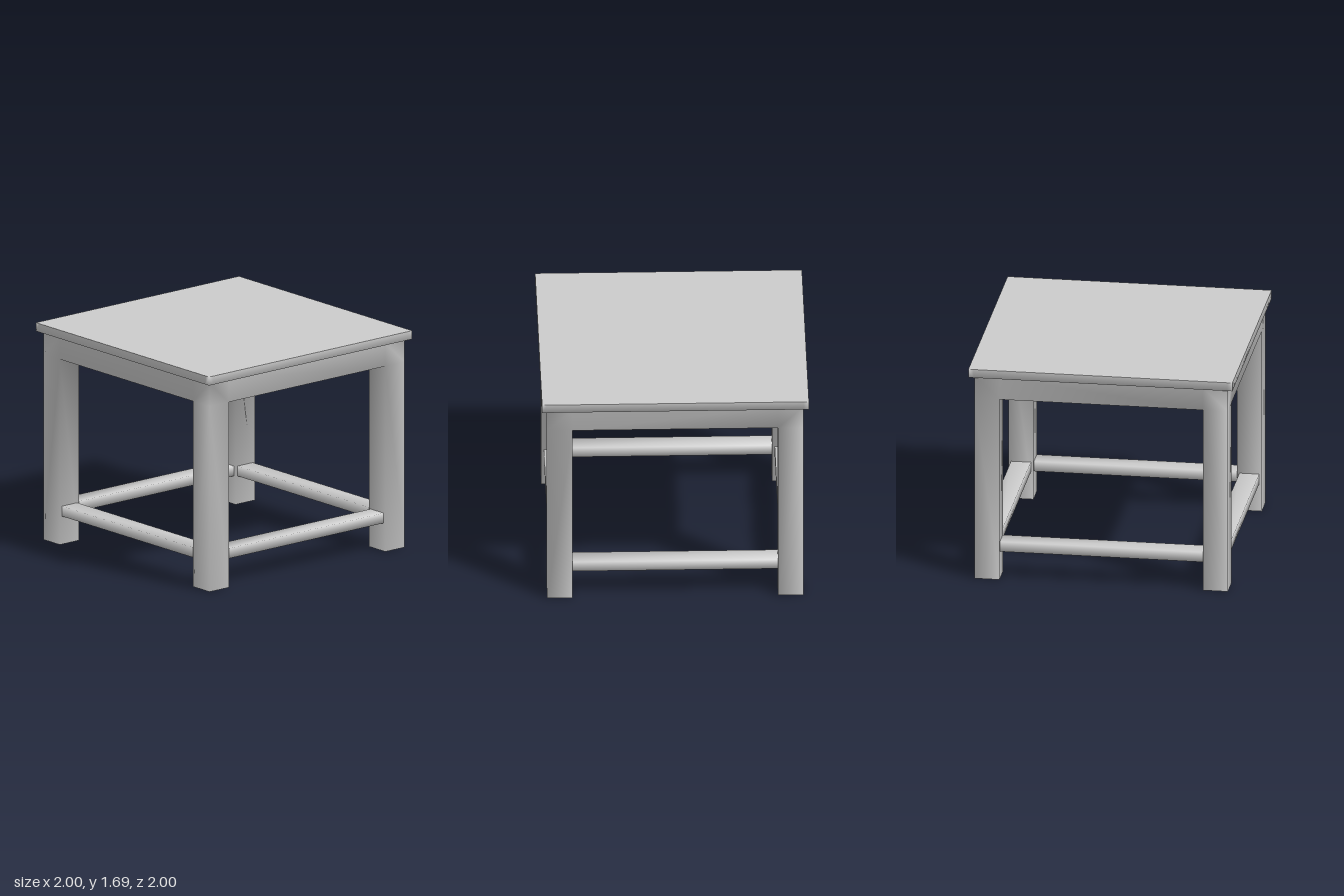
import * as THREE from 'three';
import { mergeGeometries, mergeVertices } from 'three/addons/utils/BufferGeometryUtils.js';

const material = new THREE.MeshStandardMaterial({ color: 0xcccccc });

// Weld corners so that the shading runs smoothly round the edges
function addPart(group, name, geometry) {
  geometry.deleteAttribute('normal');
  geometry.deleteAttribute('uv');
  const welded = mergeVertices(geometry, 1e-4);
  welded.computeVertexNormals();
  const mesh = new THREE.Mesh(welded, material);
  mesh.name = name;
  group.add(mesh);
  return mesh;
}

// Two triangles from four corners, counter-clockwise seen from the front
function quad(a, b, c, d) {
  return new THREE.BufferGeometry().setFromPoints([a, b, c, a, c, d]);
}

// Seat, solid apron block and legs as one shell: outer faces of the filled cells of a grid
function bodyGeometry() {
  const sides = [-1, -0.96, -0.77, 0.77, 0.96, 1];
  const levels = [0, 1.442, 1.62, 1.686];
  const lines = [sides, levels, sides];
  const filled = ([i, j, k]) => {
    const within = (n, edge) => n >= edge && n <= 4 - edge;
    if (j === 2) return within(i, 0) && within(k, 0);
    if (j === 1) return within(i, 1) && within(k, 1);
    return j === 0 && (i === 1 || i === 3) && (k === 1 || k === 3);
  };
  // The seat top is a single face
  const top = [[-1, 1], [1, 1], [1, -1], [-1, -1]].map(([x, z]) => new THREE.Vector3(x, levels[3], z));
  const faces = [quad(...top)];
  for (let i = 0; i < 5; i++) for (let j = 0; j < 3; j++) for (let k = 0; k < 5; k++) {
    const cell = [i, j, k];
    if (!filled(cell)) continue;
    const size = cell.map((n, a) => lines[a][n + 1] - lines[a][n]);
    const mid = cell.map((n, a) => (lines[a][n + 1] + lines[a][n]) / 2);
    for (let axis = 0; axis < 3; axis++) for (const dir of [-1, 1]) {
      const next = cell.slice();
      next[axis] += dir;
      if (filled(next) || (axis === 1 && dir > 0)) continue;
      const u = (axis + 1) % 3, v = (axis + 2) % 3;
      const corners = [[-1, -1], [1, -1], [1, 1], [-1, 1]].map(([a, b]) => {
        const p = mid.slice();
        p[axis] += dir * size[axis] / 2;
        p[u] += a * size[u] / 2;
        p[v] += b * size[v] / 2;
        return new THREE.Vector3(...p);
      });
      if (dir < 0) corners.reverse();
      faces.push(quad(...corners));
    }
  }
  return mergeGeometries(faces);
}

export function createModel() {
  const group = new THREE.Group();
  group.name = 'stool';

  // Flat square seat on a solid apron with four square legs
  addPart(group, 'seatAndLegs', bodyGeometry());

  // Low flat bars between the legs
  ['front', 'left', 'back', 'right'].forEach((side, n) => {
    const bar = new THREE.BoxGeometry(1.54, 0.078, 0.15);
    bar.translate(0, 0.257, 0.865);
    addPart(group, side + 'Stretcher', bar).rotation.y = n * Math.PI / 2;
  });

  return group;
}
